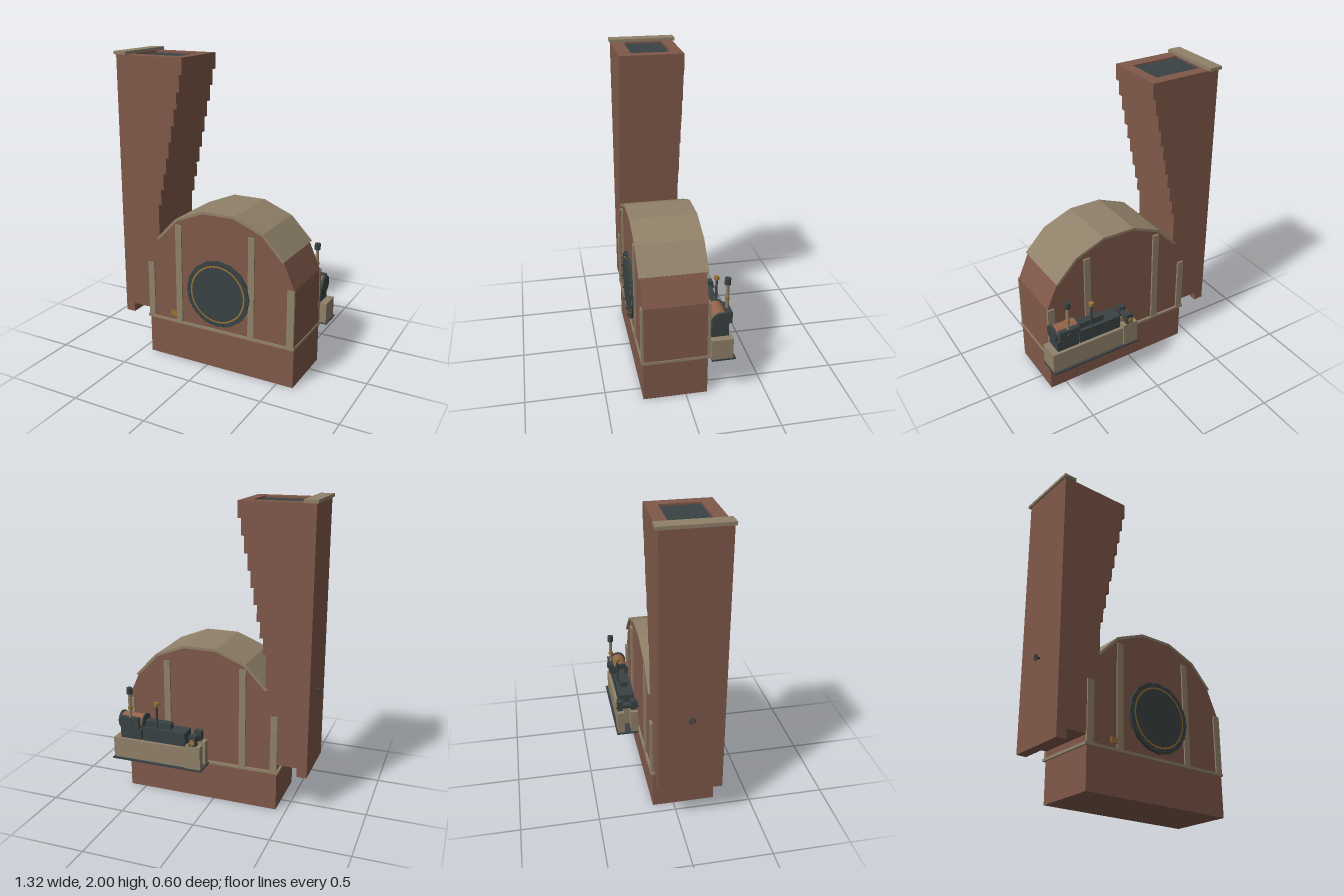
import * as THREE from 'three';

const mat = (name, color, side = THREE.FrontSide) => {
  const m = new THREE.MeshStandardMaterial({ color, side });
  m.name = name;
  return m;
};

export function createModel() {
  const brown = mat('casing brown', 0x80594a);
  const tan = mat('trim tan', 0x908169);
  const dark = mat('machine grey', 0x3a4243);
  const gold = mat('brass', 0x997333);
  const copper = mat('motor copper', 0x95634c);
  const root = new THREE.Group();
  root.name = 'blowerHousing';

  const add = (name, geometry, material, parent = root) => {
    const m = new THREE.Mesh(geometry, material);
    m.name = name;
    parent.add(m);
    return m;
  };
  // Box given by its limits on each axis
  const box = (name, material, x0, x1, y0, y1, z0, z1, parent = root) => {
    const m = add(name, new THREE.BoxGeometry(x1 - x0, y1 - y0, z1 - z0), material, parent);
    m.position.set((x0 + x1) / 2, (y0 + y1) / 2, (z0 + z1) / 2);
    return m;
  };
  // Cylinder along a chosen axis
  const rod = (name, material, r, len, axis, x, y, z, sides = 16, parent = root) => {
    const g = new THREE.CylinderGeometry(r, r, len, sides);
    if (axis === 'x') g.rotateZ(Math.PI / 2);
    if (axis === 'z') g.rotateX(Math.PI / 2);
    const m = add(name, g, material, parent);
    m.position.set(x, y, z);
    return m;
  };
  // Side profile extruded across the width
  const slab = (name, material, pts, z0, z1) => {
    const shape = new THREE.Shape(pts.map(([x, y]) => new THREE.Vector2(x, y)));
    const g = new THREE.ExtrudeGeometry(shape, { depth: z1 - z0, bevelEnabled: false });
    g.translate(0, 0, z0);
    return add(name, g, material);
  };
  const Z0 = -0.137, Z1 = 0.27;

  // Base and flange
  box('base', brown, -0.432, 0.61, 0, 0.262, Z0, Z1);
  box('baseFlange', tan, -0.445, 0.615, 0.258, 0.275, -0.152, 0.28);

  // Faceted fan casing with roof strip
  const arch = [[0.53, 0.82], [0.39, 0.967], [0.197, 1.045], [-0.02, 1.045], [-0.213, 0.967], [-0.355, 0.82]];
  slab('casing', brown, [[-0.43, 0.27], [0.61, 0.27], [0.605, 0.65], ...arch, [-0.43, 0.65]], Z0, Z1);
  const grow = (d) => arch.map(([x, y]) => {
    const dx = x - 0.088, dy = y - 0.52, l = Math.hypot(dx, dy);
    return [x + dx / l * d, y + dy / l * d];
  });
  slab('roofStrip', tan, [...grow(0.011), ...grow(-0.006).reverse()], -0.15, 0.278);

  // Stepped stack, widening upward in even courses
  const top = 1.98, course = 0.1035;
  const profile = [[-0.63, 0.26], [-0.565, 0.26], [-0.565, 0.32], [-0.347, 0.32]];
  for (let i = 0; i < 9; i++) {
    const y = 1.05 + i * course;
    profile.push([-0.347 + i * 0.0212, y], [-0.347 + (i + 1) * 0.0212, y]);
  }
  profile.push([-0.156, top - 0.02], [-0.63, top - 0.02]);
  slab('stack', brown, profile, Z0, Z1);

  // Stack mouth: rim around a dark opening
  box('mouthOpening', dark, -0.6, -0.226, top - 0.02, top - 0.012, -0.062, 0.188);
  box('mouthRim', brown, -0.63, -0.156, top - 0.02, top, 0.188, Z1);
  box('mouthRim', brown, -0.63, -0.156, top - 0.02, top, Z0, -0.062);
  box('mouthRim', brown, -0.226, -0.156, top - 0.02, top, -0.062, 0.188);
  box('mouthRim', brown, -0.63, -0.555, top - 0.02, top, -0.062, 0.188);
  box('stackCap', tan, -0.642, -0.554, top, 2, -0.154, 0.279);

  // Upright ribs on both faces
  for (const [x0, x1, y] of [[-0.435, -0.39, 0.65], [-0.222, -0.178, 0.94], [0.297, 0.34, 0.94], [0.562, 0.61, 0.65]]) {
    box('frontRib', tan, x0, x1, 0.27, y, Z1 - 0.005, 0.279);
    box('backRib', tan, x0, x1, 0.27, y, -0.15, Z0 + 0.005);
  }

  // Round access door
  const door = new THREE.Group();
  door.name = 'accessDoor';
  door.position.set(0.088, 0.525, 0);
  root.add(door);
  rod('doorRim', dark, 0.223, 0.022, 'z', 0, 0, 0.277, 16, door);
  const ring = add('doorRing', new THREE.RingGeometry(0.182, 0.193, 32), gold, door);
  ring.position.z = 0.2895;
  rod('doorPanel', dark, 0.182, 0.012, 'z', 0, 0, 0.285, 32, door);
  for (let i = 0; i < 16; i++) {
    const a = (i + 0.5) / 16 * Math.PI * 2;
    rod('doorBolt', dark, 0.008, 0.014, 'z', Math.cos(a) * 0.206, Math.sin(a) * 0.206, 0.293, 6, door);
  }
  box('namePlate', gold, -0.265, -0.205, 0.303, 0.338, Z1 - 0.002, 0.277);

  // Small hand valve on the stack
  rod('valveStem', dark, 0.008, 0.03, 'x', -0.642, 0.795, 0.06, 8);
  const wheel = add('valveWheel', new THREE.TorusGeometry(0.018, 0.004, 6, 16), dark);
  wheel.rotation.y = Math.PI / 2;
  wheel.position.set(-0.655, 0.795, 0.06);

  // Drive unit on the back: tray and plinth
  const drive = new THREE.Group();
  drive.name = 'driveUnit';
  root.add(drive);
  const db = (n, m, ...lim) => box(n, m, ...lim, drive);
  db('driveRail', dark, 0.025, 0.66, 0.262, 0.272, -0.302, -0.15);
  db('drivePlinth', tan, 0.14, 0.655, 0.272, 0.408, -0.285, -0.15);

  // Bearing pedestals and shaft
  for (const [z0, z1] of [[-0.293, -0.247], [-0.2, -0.152]]) {
    db('bearingPedestal', tan, 0.035, 0.138, 0.272, 0.43, z0, z1);
    db('bearingBlock', dark, 0.065, 0.113, 0.43, 0.5, z0 + 0.004, z1 - 0.004);
  }
  rod('bearingShaft', dark, 0.022, 0.15, 'z', 0.088, 0.46, -0.218, 12, drive);
  rod('shaftEnd', gold, 0.018, 0.008, 'z', 0.088, 0.46, -0.296, 12, drive);

  // Gearbox with brass breather
  db('gearbox', dark, 0.15, 0.45, 0.405, 0.5, -0.264, -0.16);
  db('gearboxCover', dark, 0.26, 0.44, 0.5, 0.54, -0.24, -0.19);
  rod('breatherStem', dark, 0.008, 0.17, 'y', 0.353, 0.58, -0.247, 8, drive);
  rod('breatherCap', gold, 0.017, 0.022, 'y', 0.353, 0.67, -0.247, 10, drive);

  // Motor with brass bands and end cap
  rod('motor', copper, 0.05, 0.17, 'x', 0.535, 0.522, -0.21, 24, drive);
  for (const x of [0.465, 0.515, 0.565]) rod('motorBand', gold, 0.0515, 0.006, 'x', x, 0.522, -0.21, 24, drive);
  rod('motorFlange', dark, 0.056, 0.012, 'x', 0.451, 0.522, -0.21, 24, drive);
  rod('motorEndCap', dark, 0.057, 0.016, 'x', 0.616, 0.522, -0.21, 24, drive);
  db('motorFoot', dark, 0.46, 0.61, 0.405, 0.48, -0.265, -0.155);

  // Terminal box with vent pipe
  db('terminalBox', dark, 0.468, 0.6, 0.49, 0.565, -0.288, -0.255);
  rod('terminalKnob', dark, 0.02, 0.01, 'z', 0.534, 0.527, -0.292, 12, drive);
  rod('ventPipe', tan, 0.011, 0.18, 'y', 0.534, 0.64, -0.268, 10, drive);
  rod('ventCollar', gold, 0.015, 0.018, 'y', 0.534, 0.63, -0.268, 10, drive);
  rod('ventCap', dark, 0.02, 0.042, 'y', 0.534, 0.748, -0.268, 12, drive);
  return root;
}
